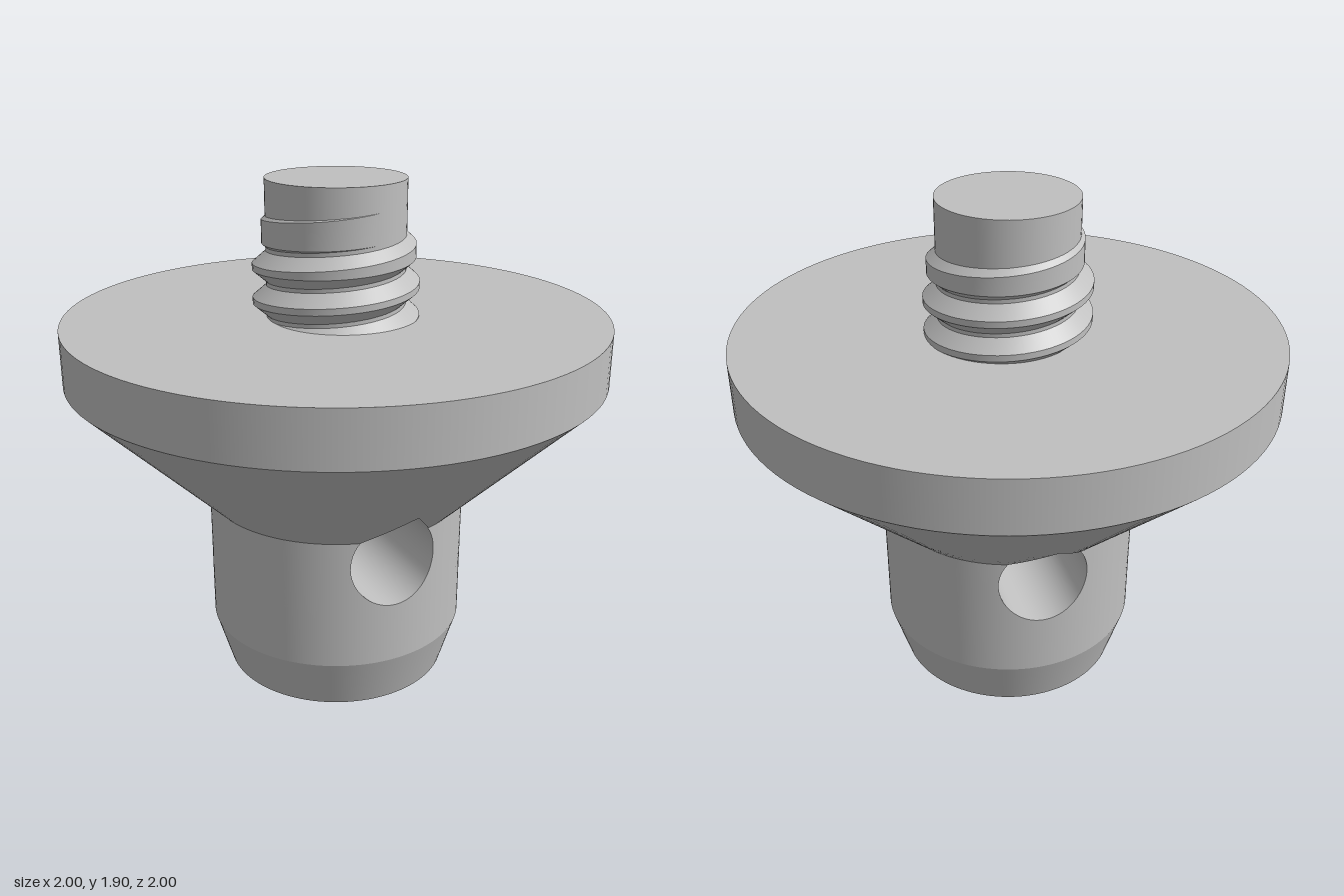
import * as THREE from 'three';

const V = (x, y, z) => new THREE.Vector3(x, y, z);

// Surface through equal-length rows of points; optional rows of normals
function grid(rows, normals) {
  const n = rows[0].length, index = [];
  for (let i = 0; i < rows.length - 1; i++) {
    for (let j = 0; j < n - 1; j++) {
      const a = i * n + j, b = a + 1, c = b + n, d = a + n;
      index.push(a, b, c, a, c, d);
    }
  }
  const g = new THREE.BufferGeometry().setFromPoints(rows.flat());
  g.setIndex(index);
  if (normals) {
    g.setAttribute('normal', new THREE.Float32BufferAttribute(normals.flat().flatMap(v => v.toArray()), 3));
  } else g.computeVertexNormals();
  return g;
}

export function createModel() {
  const model = new THREE.Group();
  const grey = new THREE.MeshStandardMaterial({ color: 0xc0c0c0 });
  grey.name = 'plain grey';
  const add = (name, geometry) => {
    const mesh = new THREE.Mesh(geometry, grey);
    mesh.name = name;
    model.add(mesh);
    return mesh;
  };

  // Body radius by height
  const profile = [[0, 0.43], [0.2, 0.49], [0.7, 0.49], [1.2, 1], [1.4, 1]];
  const radius = y => {
    const k = Math.max(1, profile.findIndex(p => p[0] >= y - 1e-9));
    const [y0, r0] = profile[k - 1], [y1, r1] = profile[k];
    return r0 + (r1 - r0) * (y - y0) / (y1 - y0);
  };

  // Right half of the teardrop hole as [half width, height], bottom to tip
  const holeR = 0.17, holeY = 0.6, seam = Math.acos(-0.1 / holeR), end = Math.PI * 0.75;
  const tear = [];
  const arc = a => tear.push([holeR * Math.sin(a), holeY - holeR * Math.cos(a)]);
  for (let i = 0; i <= 20; i++) arc(seam * i / 20);
  const seamIndex = 20;
  for (let i = 1; i <= 2; i++) arc(seam + (end - seam) * i / 2);
  const [tx, ty] = tear[tear.length - 1];
  for (let i = 1; i <= 6; i++) tear.push([tx * (1 - i / 6), ty + tx * i / 6]);

  // Body bands, each in two halves that stop at the hole's edge
  const bands = [
    ['taperedFoot', [[0, 0], [0, 0.2]]],
    ['shank', [[0, 0.2], ...tear.slice(0, seamIndex + 1)]],
    ['cone', [...tear.slice(seamIndex), [0, 1.2]]],
    ['discRim', [[0, 1.2], [0, 1.4]]],
  ];
  const cols = 56;
  for (const [name, levels] of bands) {
    const y0 = levels[0][1], y1 = levels[levels.length - 1][1];
    const slope = (radius(y1) - radius(y0)) / (y1 - y0);
    for (const side of [0, Math.PI]) {
      const rows = [], normals = [];
      for (const [w, y] of levels) {
        const r = radius(y), t0 = Math.asin(w / r), row = [], nrow = [];
        for (let j = 0; j <= cols; j++) {
          const t = side + t0 + (Math.PI - 2 * t0) * j / cols;
          row.push(V(r * Math.sin(t), y, r * Math.cos(t)));
          nrow.push(V(Math.sin(t), -slope, Math.cos(t)).normalize());
        }
        rows.push(row);
        normals.push(nrow);
      }
      add(name + (side ? 'Right' : 'Left'), grid(rows, normals));
    }
  }

  // End faces
  const foot = add('footFace', new THREE.CircleGeometry(0.43, 112));
  foot.rotation.x = Math.PI / 2;
  const top = add('discTop', new THREE.CircleGeometry(1, 112));
  top.rotation.x = -Math.PI / 2;
  top.position.y = 1.4;

  // Teardrop hole wall, front to back
  const loop = [...tear.slice().reverse().map(([x, y]) => [-x, y]), ...tear.slice(1)];
  const wall = s => loop.map(([x, y]) => V(x, y, s * Math.sqrt(radius(y) ** 2 - x * x)));
  add('holeWall', grid([wall(1), wall(-1)]));

  // Stud
  const studR = 0.255;
  const stud = add('stud', new THREE.CylinderGeometry(studR, studR, 0.52, 72));
  stud.position.y = 1.64;

  // Right-hand thread that fades out towards the top
  const pitch = 0.125, depth = 0.05, steps = 64;
  const first = -1.5, last = 1.78, fade = 0.55;
  const section = [[], [], [], []];
  const count = Math.round((last - first) * steps);
  for (let i = 0; i <= count; i++) {
    const turn = first + (last - first) * i / count, a = turn * Math.PI * 2;
    const f = turn < fade ? 1 : 1 - (turn - fade) / (last - fade);
    const y = 1.53 + pitch * turn, flat = 0.055 - 0.043 * f;
    const at = (r, dy) => V(r * Math.cos(a), y + dy, -r * Math.sin(a));
    section[0].push(at(studR - 0.002, -0.057));
    section[1].push(at(studR + depth * f, -flat));
    section[2].push(at(studR + depth * f, flat));
    section[3].push(at(studR - 0.002, 0.057));
  }
  ['threadUnderside', 'threadCrest', 'threadTopside'].forEach((name, k) =>
    add(name, grid([section[k], section[k + 1]])));

  return model;
}
